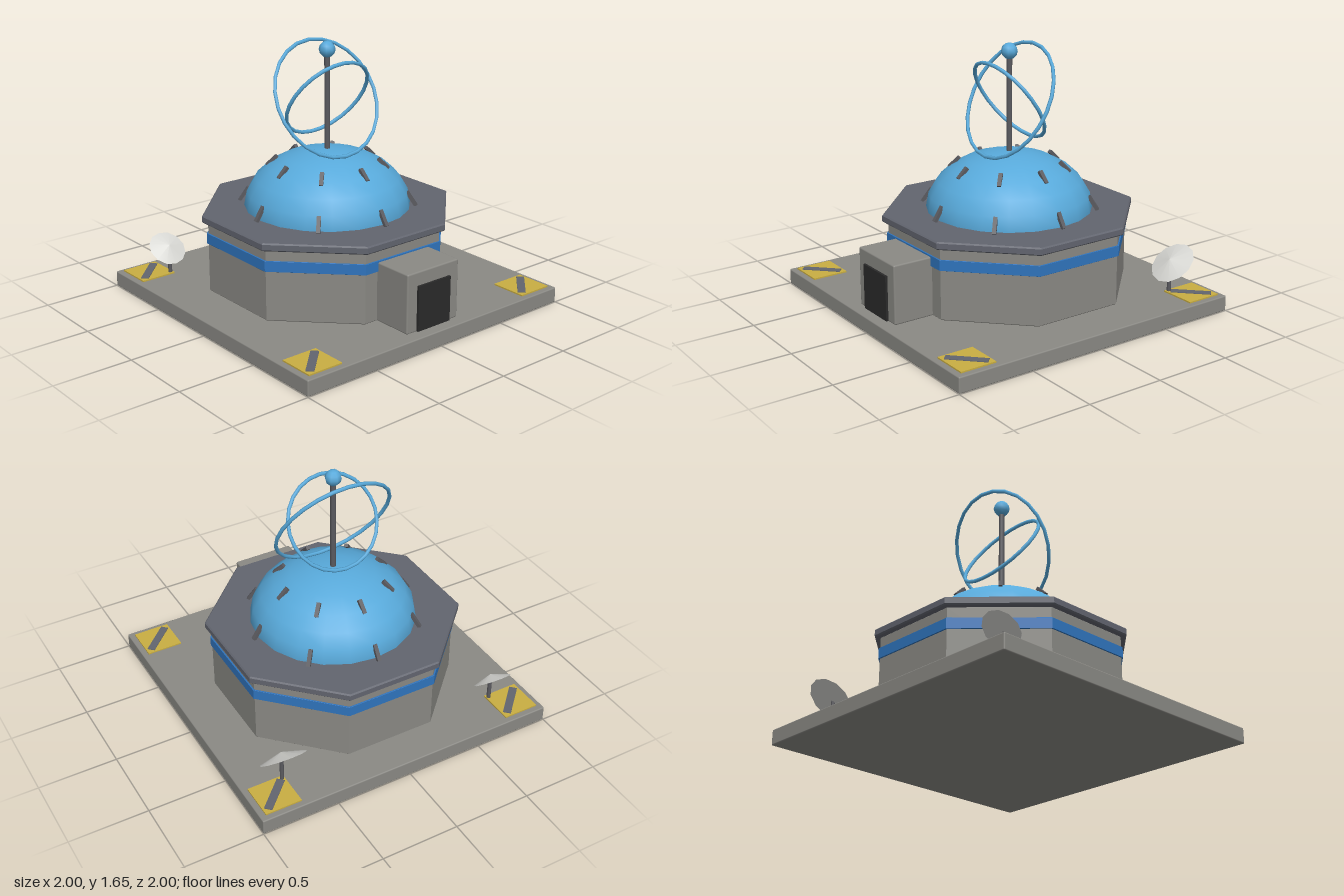
import * as THREE from 'three';
import { RoundedBoxGeometry } from 'three/addons/geometries/RoundedBoxGeometry.js';

const CZ = -0.053; // centre line of the building in z

export function createModel() {
  const model = new THREE.Group();
  model.name = 'domeStation';
  const mat = (name, color) => {
    const m = new THREE.MeshStandardMaterial({ color });
    m.name = name;
    return m;
  };
  const concrete = mat('concrete grey', 0x8a8984);
  const slate = mat('roof slate', 0x62656f);
  const metal = mat('dark metal', 0x5b5b60);
  const blue = mat('band blue', 0x2f74bd);
  const sky = mat('dome blue', 0x58aadb);
  const yellow = mat('pad yellow', 0xc9ae42);
  const black = mat('door black', 0x2a2a2a);
  const white = mat('dish white', 0xd8d8d4);

  const add = (name, geo, material, x, y, z, parent = model) => {
    const mesh = new THREE.Mesh(geo, material);
    mesh.name = name;
    mesh.position.set(x, y, z);
    parent.add(mesh);
    return mesh;
  };

  // Flat-sided octagonal prism with a small chamfer, flat side to the front
  const octagon = (apothem, y0, y1, bevel) => {
    const k = 1 / Math.cos(Math.PI / 8);
    const a = apothem * k, b = (apothem - bevel) * k;
    const pts = [[0, y0], [b, y0], [a, y0 + bevel], [a, y1 - bevel], [b, y1], [0, y1]]
      .map(([r, y]) => new THREE.Vector2(r, y));
    const g = new THREE.LatheGeometry(pts, 8).rotateY(Math.PI / 8).toNonIndexed();
    g.computeVertexNormals();
    return g;
  };

  // Ground slab
  add('baseSlab', new RoundedBoxGeometry(2, 0.1, 2, 2, 0.008), concrete, 0, 0.05, 0);

  // Corner pads with a diagonal stripe
  for (const x of [-0.845, 0.845]) for (const z of [-0.845, 0.845]) {
    add('cornerPad', new THREE.BoxGeometry(0.235, 0.009, 0.235), yellow, x, 0.1045, z);
    const stripe = add('padStripe', new THREE.BoxGeometry(0.25, 0.005, 0.05), slate, x, 0.1105, z);
    stripe.rotation.y = Math.PI / 4;
  }

  // Octagonal building
  add('walls', octagon(0.71, 0.1, 0.557, 0.006), concrete, 0, 0, CZ);
  add('wallBand', octagon(0.719, 0.418, 0.485, 0.001), blue, 0, 0, CZ);
  add('roof', octagon(0.745, 0.555, 0.605, 0.008), slate, 0, 0, CZ);

  // Entrance porch and door
  add('porch', new RoundedBoxGeometry(0.406, 0.375, 0.32, 2, 0.01), concrete, 0, 0.2875, 0.76);
  add('door', new THREE.BoxGeometry(0.255, 0.285, 0.02), black, 0, 0.247, 0.925);

  // Flattened dome
  const dome = add('dome', new THREE.SphereGeometry(0.525, 20, 6, 0, Math.PI * 2, 0, Math.PI / 2),
    sky, 0, 0.6, CZ);
  dome.scale.y = 0.7;

  // Two rings of short studs leaning against the dome: [radius, height, length, lean]
  for (const [r, y, len, lean] of [[0.53, 0.65, 0.105, 0.58], [0.35, 0.876, 0.09, 0.8]]) {
    for (let i = 0; i < 8; i++) {
      const arm = new THREE.Group();
      arm.name = 'domeStud';
      arm.position.set(0, y, CZ);
      arm.rotation.y = i * Math.PI / 4;
      const stud = add('stud', new THREE.BoxGeometry(0.025, len, 0.022), metal, 0, 0, r, arm);
      stud.rotation.x = -lean;
      model.add(arm);
    }
  }

  // Mast, tip ball and the two tilted rings
  add('mast', new THREE.CylinderGeometry(0.018, 0.018, 0.62, 8), metal, 0, 1.25, CZ);
  add('mastBall', new THREE.SphereGeometry(0.052, 8, 6), sky, 0, 1.595, CZ);
  add('outerRing', new THREE.TorusGeometry(0.38, 0.012, 6, 24), sky, 0, 1.29, CZ).rotation.x = -0.49;
  add('innerRing', new THREE.TorusGeometry(0.295, 0.012, 6, 24), sky, 0, 1.288, CZ).rotation.x = 0.57;

  // Dishes on posts at the back corners: [side, radius, height]
  for (const [side, r, y] of [[-1, 0.122, 0.27], [1, 0.147, 0.295]]) {
    const x = side * 0.745;
    add('dishPost', new THREE.CylinderGeometry(0.013, 0.013, y - 0.1, 8), metal, x, (y + 0.1) / 2, -0.75);
    add('dish', new THREE.ConeGeometry(r, 0.04, 12), white, x, y + 0.01, -0.76).rotation.x = 0.7;
  }
  return model;
}
